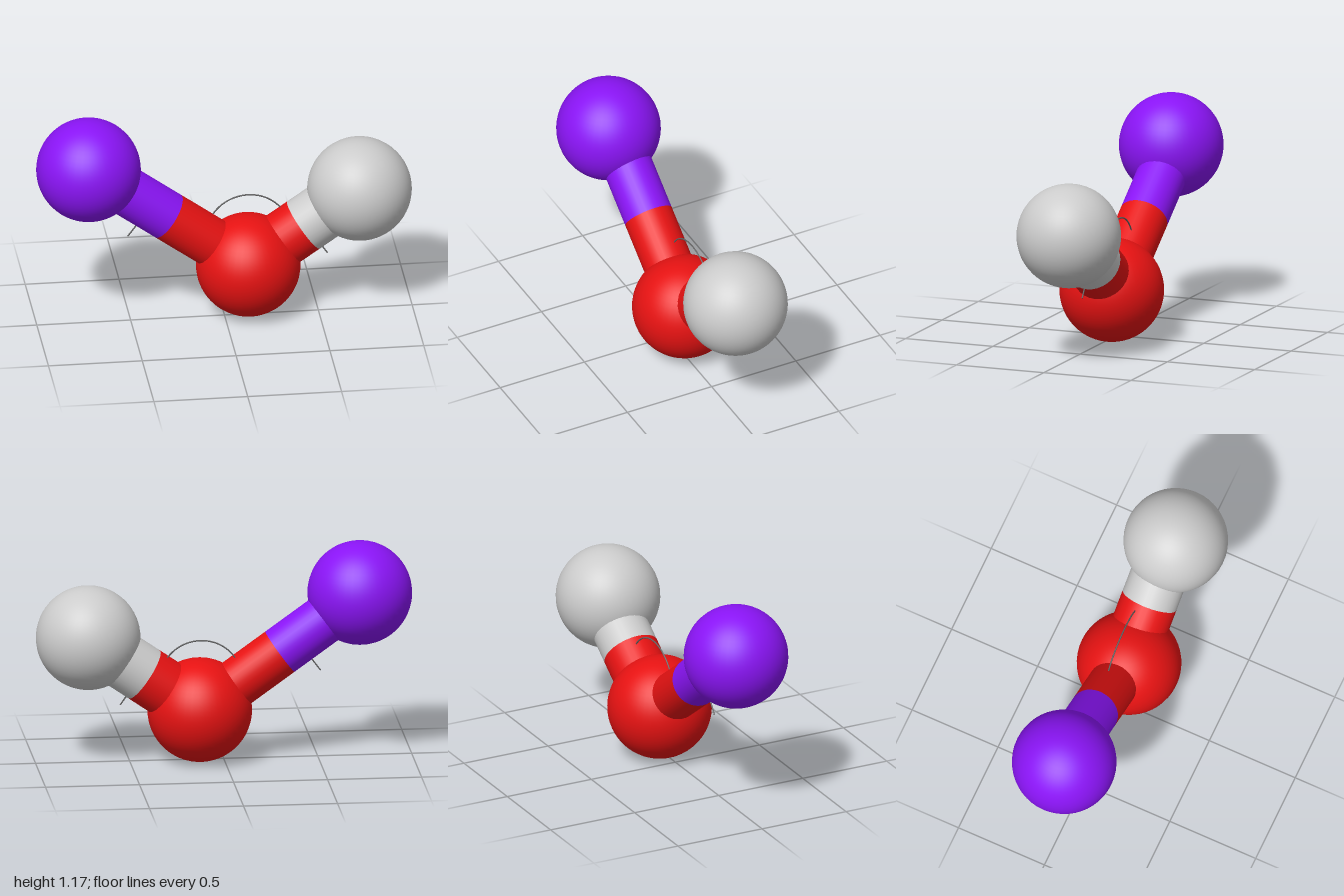
import * as THREE from 'three';

const purple = new THREE.MeshStandardMaterial({ color: 0x8a14f5 });
const red = new THREE.MeshStandardMaterial({ color: 0xe61212 });
const grey = new THREE.MeshStandardMaterial({ color: 0xcccccc });
const dark = new THREE.MeshStandardMaterial({ color: 0x666666 });

const V = (x, y, z) => new THREE.Vector3(x, y, z);

function add(parent, name, geometry, material) {
  const mesh = new THREE.Mesh(geometry, material);
  mesh.name = name;
  parent.add(mesh);
  return mesh;
}

// Straight round rod between two points
function rod(parent, name, a, b, radius, material, sides = 32) {
  const dir = b.clone().sub(a);
  const mesh = add(parent, name, new THREE.CylinderGeometry(radius, radius, dir.length(), sides), material);
  mesh.position.copy(a).add(b).multiplyScalar(0.5);
  mesh.quaternion.setFromUnitVectors(V(0, 1, 0), dir.normalize());
}

// Bond in two colours that meet halfway between the atoms
function bond(parent, name, a, b, radius, z, matA, matB) {
  const group = new THREE.Group();
  group.name = name;
  const start = V(a.x, a.y, z), end = V(b.x, b.y, z);
  const middle = start.clone().lerp(end, 0.5);
  rod(group, 'lowerBondHalf', start, middle, radius, matA);
  rod(group, 'upperBondHalf', middle, end, radius, matB);
  parent.add(group);
}

export function createModel() {
  const model = new THREE.Group();
  model.name = 'molecule';

  // Atoms
  const sodium = V(-0.723, 0.893, -0.012);
  const oxygen = V(0.13, 0.28, -0.027);
  const hydrogen = V(0.723, 0.69, -0.028);
  const ball = new THREE.SphereGeometry(0.277, 48, 32);
  add(model, 'sodiumAtom', ball, purple).position.copy(sodium);
  add(model, 'oxygenAtom', ball, red).position.copy(oxygen);
  add(model, 'hydrogenAtom', ball, grey).position.copy(hydrogen);

  // Bonds
  bond(model, 'sodiumBond', oxygen, sodium, 0.132, -0.032, red, purple);
  bond(model, 'hydrogenBond', oxygen, hydrogen, 0.152, -0.044, red, grey);

  // Thin arc marking the bond angle
  const arcPoints = [];
  for (let i = 0; i <= 16; i++) {
    const t = THREE.MathUtils.degToRad(147 - (114 * i) / 16);
    arcPoints.push(V(0.131 + 0.222 * Math.cos(t), 0.446 + 0.222 * Math.sin(t), -0.062 - (0.013 * i) / 16));
  }
  add(model, 'angleArc', new THREE.TubeGeometry(new THREE.CatmullRomCurve3(arcPoints), 48, 0.004, 6), dark);

  // Short pointer lines below each bond
  rod(model, 'sodiumBondPointer', V(-0.46, 0.55, -0.032), V(-0.512, 0.48, -0.032), 0.004, dark, 6);
  rod(model, 'hydrogenBondPointer', V(0.505, 0.39, -0.034), V(0.553, 0.32, -0.034), 0.004, dark, 6);

  return model;
}
